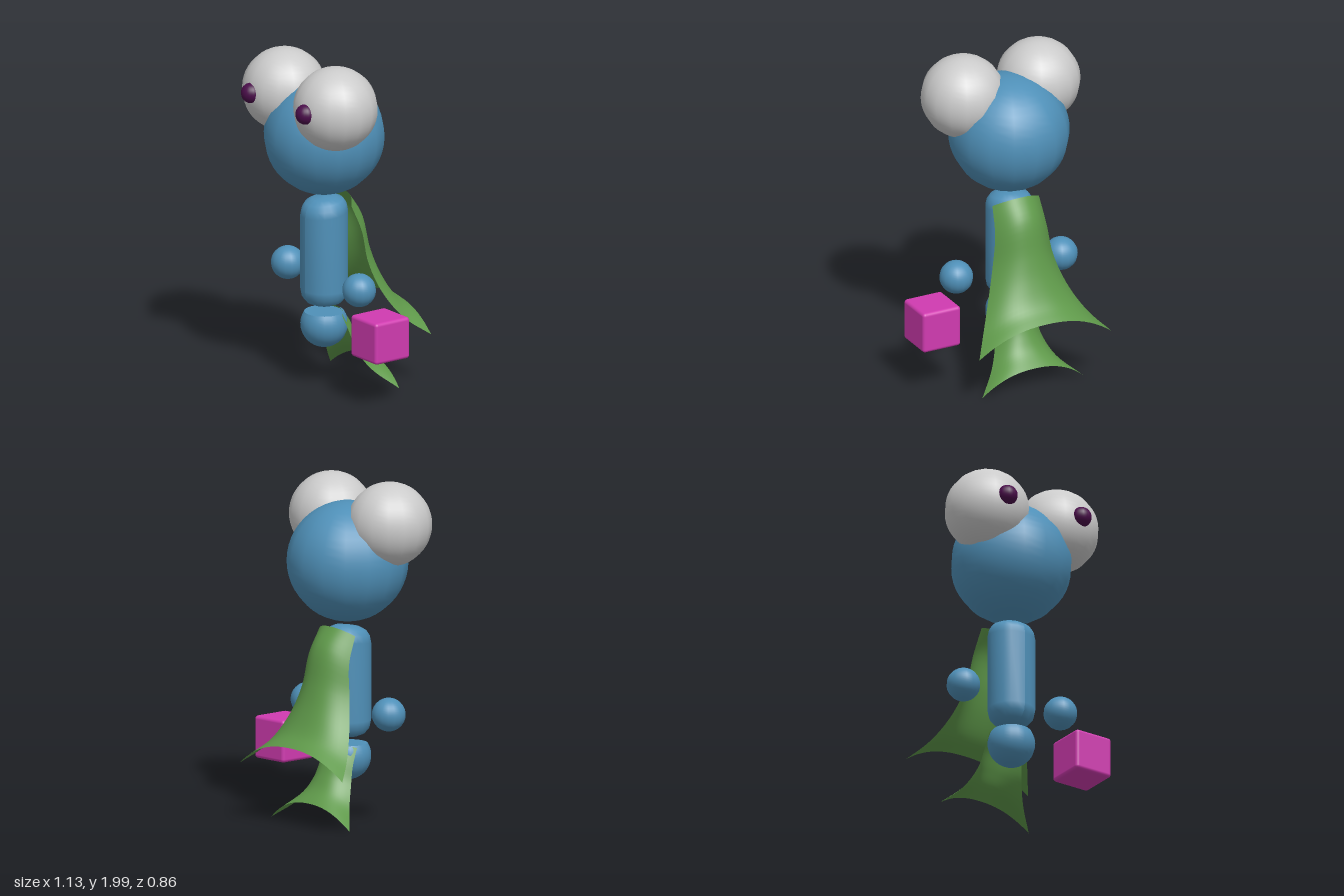
import * as THREE from 'three';
import { RoundedBoxGeometry } from 'three/addons/geometries/RoundedBoxGeometry.js';

const mat = (color, side = THREE.FrontSide) => new THREE.MeshStandardMaterial({ color, side });
const CX = -0.075; // the figure's own centre line
const CZ = 0.04;

export function createModel() {
  const model = new THREE.Group();
  const blue = mat(0x4f90b8);
  const white = mat(0xcccccc);
  const purple = mat(0x4a0d4a);
  const green = mat(0x5f994a, THREE.DoubleSide);
  const pink = mat(0xd03bb0);

  const add = (name, geometry, material, x, y, z) => {
    const mesh = new THREE.Mesh(geometry, material);
    mesh.name = name;
    mesh.position.set(x, y, z);
    model.add(mesh);
    return mesh;
  };
  const ball = (name, r, material, x, y, z) =>
    add(name, new THREE.SphereGeometry(r, 16, 24), material, x, y, z);

  // Head, eyes, pupils and floating hands
  ball('head', 0.352, blue, CX, 1.52, CZ);
  for (const [side, s] of [['left', 1], ['right', -1]]) {
    ball(side + 'Eye', 0.246, white, CX + s * 0.245, 1.754, 0.143);
    ball(side + 'Pupil', 0.06, purple, CX + s * 0.261, 1.765, 0.37);
    ball(side + 'Hand', 0.098, blue, CX + s * 0.342, 0.662, 0.045);
  }

  // Body: rounded column whose top leans slightly to the front
  const profile = [[0, 0.49], [0.06, 0.494], [0.1, 0.51], [0.129, 0.545], [0.138, 0.59],
    [0.138, 1.05], [0.13, 1.09], [0.11, 1.12], [0.07, 1.14], [0, 1.146]];
  const body = new THREE.LatheGeometry(profile.map(([r, y]) => new THREE.Vector2(r, y)), 20);
  const bp = body.attributes.position;
  for (let i = 0; i < bp.count; i++) {
    if (bp.getY(i) > 1) bp.setY(i, bp.getY(i) - bp.getZ(i) * 0.12);
  }
  body.computeVertexNormals();
  add('body', body, blue, CX, 0, CZ);

  // Foot: ball cut flat on top
  const bowl = [];
  for (let i = 0; i <= 16; i++) {
    const a = -Math.PI / 2 + (i / 16) * 2.14;
    bowl.push(new THREE.Vector2(Math.max(0, 0.138 * Math.cos(a)), 0.138 * Math.sin(a)));
  }
  const foot = add('foot', new THREE.LatheGeometry(bowl, 20), blue, CX, 0.377, CZ);
  const cap = new THREE.Mesh(new THREE.CircleGeometry(bowl[16].x, 20), blue);
  cap.name = 'footTop';
  cap.rotation.x = -Math.PI / 2;
  cap.position.y = bowl[16].y;
  foot.add(cap);

  // Capes: sheets swept between a side edge [half width, y, z] and a middle line [y, z]
  const cape = (name, edgePts, midPts) => {
    const edge = new THREE.CatmullRomCurve3(edgePts.map((p) => new THREE.Vector3(...p)));
    const mid = new THREE.CatmullRomCurve3(midPts.map((p) => new THREE.Vector3(0, ...p)));
    const rows = 24, cols = 24;
    const geo = new THREE.PlaneGeometry(1, 1, cols, rows);
    const pos = geo.attributes.position;
    for (let j = 0; j <= rows; j++) {
      const e = edge.getPoint(j / rows);
      const m = mid.getPoint(j / rows);
      for (let i = 0; i <= cols; i++) {
        const u = 1 - (2 * i) / cols; // runs from left to right so the front face looks back
        const k = Math.abs(u) ** 2.3;
        pos.setXYZ(j * (cols + 1) + i, u * e.x, m.y + (e.y - m.y) * k, m.z + (e.z - m.z) * k);
      }
    }
    geo.computeVertexNormals();
    add(name, geo, green, CX, 0, 0);
  };
  cape('upperCape',
    [[0.152, 1.106, -0.042], [0.168, 0.947, -0.106], [0.198, 0.76, -0.13],
      [0.26, 0.577, -0.19], [0.342, 0.43, -0.286], [0.432, 0.333, -0.407]],
    [[1.153, -0.106], [1.026, -0.19], [0.825, -0.238], [0.68, -0.286], [0.55, -0.354], [0.48, -0.432]]);
  cape('lowerCape',
    [[0.122, 0.44, 0], [0.132, 0.34, -0.042], [0.152, 0.235, -0.075],
      [0.21, 0.118, -0.142], [0.33, 0.01, -0.254]],
    [[0.465, -0.05], [0.4, -0.106], [0.286, -0.16], [0.21, -0.205], [0.136, -0.28]]);

  // Floating box beside the left hand
  add('box', new RoundedBoxGeometry(0.247, 0.249, 0.249, 3, 0.02), pink, 0.437, 0.42, 0.02);

  return model;
}
